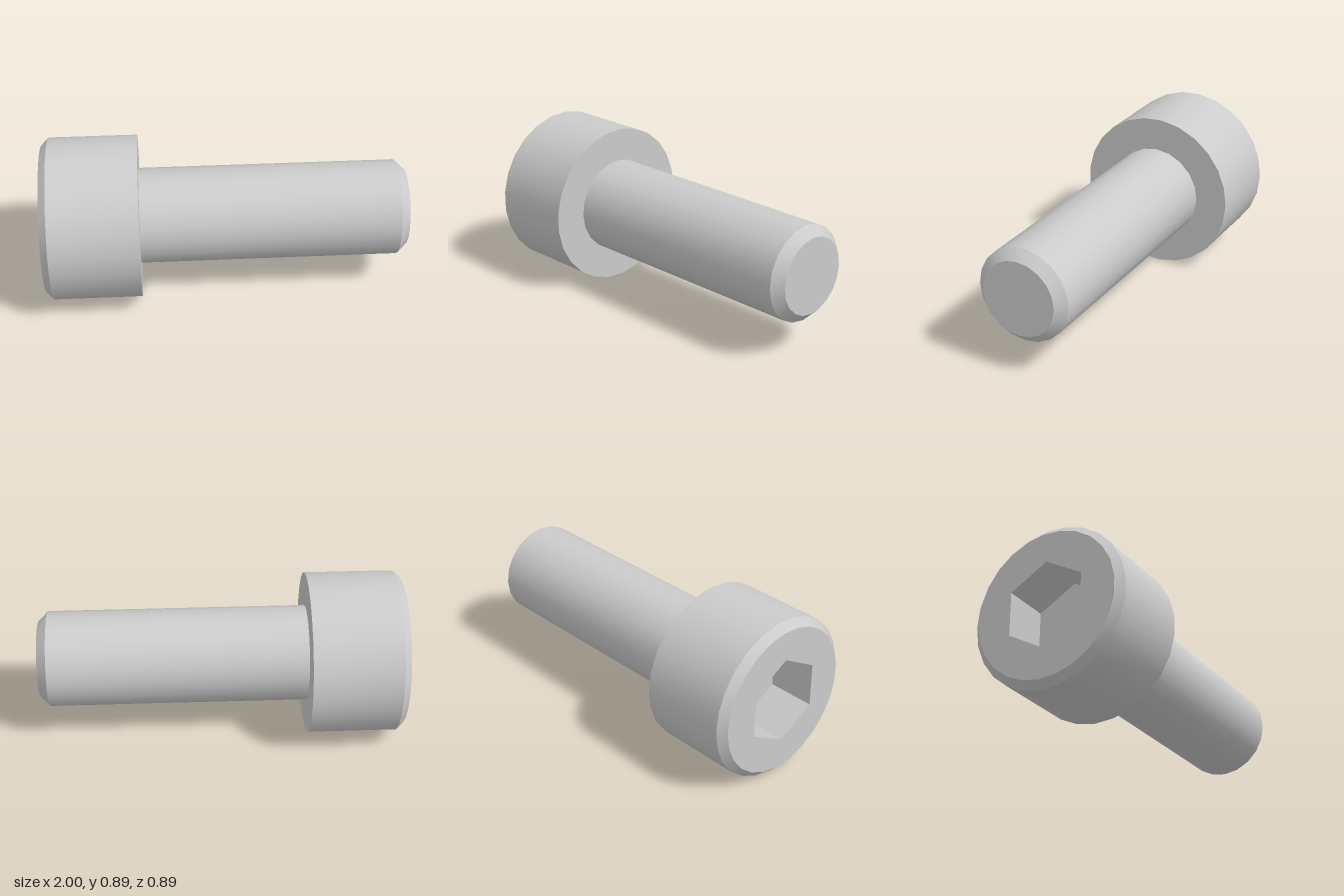
import * as THREE from 'three';
import { toCreasedNormals } from 'three/addons/utils/BufferGeometryUtils.js';

const HEAD_R = 0.4474, HEAD_CHAMFER = 0.04, HEAD_SIDES = 25, HEAD_END = -0.474;
const SHANK_R = 0.263, SHANK_CHAMFER = 0.0526, SHANK_SIDES = 20;
const HEX_R = 0.243, HEX_DEPTH = 0.263;

// Profile of [radius, x] pairs turned around the x axis, with sharp creases
function turned(profile, sides, phiStart = 0) {
  const points = profile.map(([r, x]) => new THREE.Vector2(r, x));
  const geometry = new THREE.LatheGeometry(points, sides, phiStart);
  geometry.rotateZ(-Math.PI / 2);
  return toCreasedNormals(geometry, 0.5);
}

function polygon(radius, sides, start) {
  return Array.from({ length: sides }, (_, i) => {
    const a = start + (i / sides) * Math.PI * 2;
    return new THREE.Vector2(radius * Math.cos(a), radius * Math.sin(a));
  });
}

export function createModel() {
  const model = new THREE.Group();
  model.name = 'socketHeadScrew';
  const material = new THREE.MeshStandardMaterial({ color: 0xcccccc });
  const add = (name, geometry) => {
    const mesh = new THREE.Mesh(geometry, material);
    mesh.name = name;
    mesh.position.set(0, 0.4465, 0.0018);
    model.add(mesh);
  };

  // Head: chamfered rim, side wall and flat underside
  add('head', turned([
    [HEAD_R - HEAD_CHAMFER, -1],
    [HEAD_R, -1 + HEAD_CHAMFER],
    [HEAD_R, HEAD_END],
    [0, HEAD_END],
  ], HEAD_SIDES, Math.PI));

  // Head face with the hexagonal opening
  const face = new THREE.Shape(polygon(HEAD_R - HEAD_CHAMFER, HEAD_SIDES, Math.PI));
  face.holes.push(new THREE.Path(polygon(HEX_R, 6, Math.PI / 2)));
  const faceGeometry = new THREE.ShapeGeometry(face);
  faceGeometry.rotateY(-Math.PI / 2).translate(-1, 0, 0);
  add('headFace', faceGeometry);

  // Hex socket: floor first, then walls facing inward
  add('hexSocket', turned([
    [0, -1 + HEX_DEPTH],
    [HEX_R, -1 + HEX_DEPTH],
    [HEX_R, -1],
  ], 6, Math.PI / 2));

  // Shank with chamfered tip
  add('shank', turned([
    [SHANK_R, HEAD_END],
    [SHANK_R, 1 - SHANK_CHAMFER],
    [SHANK_R - SHANK_CHAMFER, 1],
    [0, 1],
  ], SHANK_SIDES));

  return model;
}
